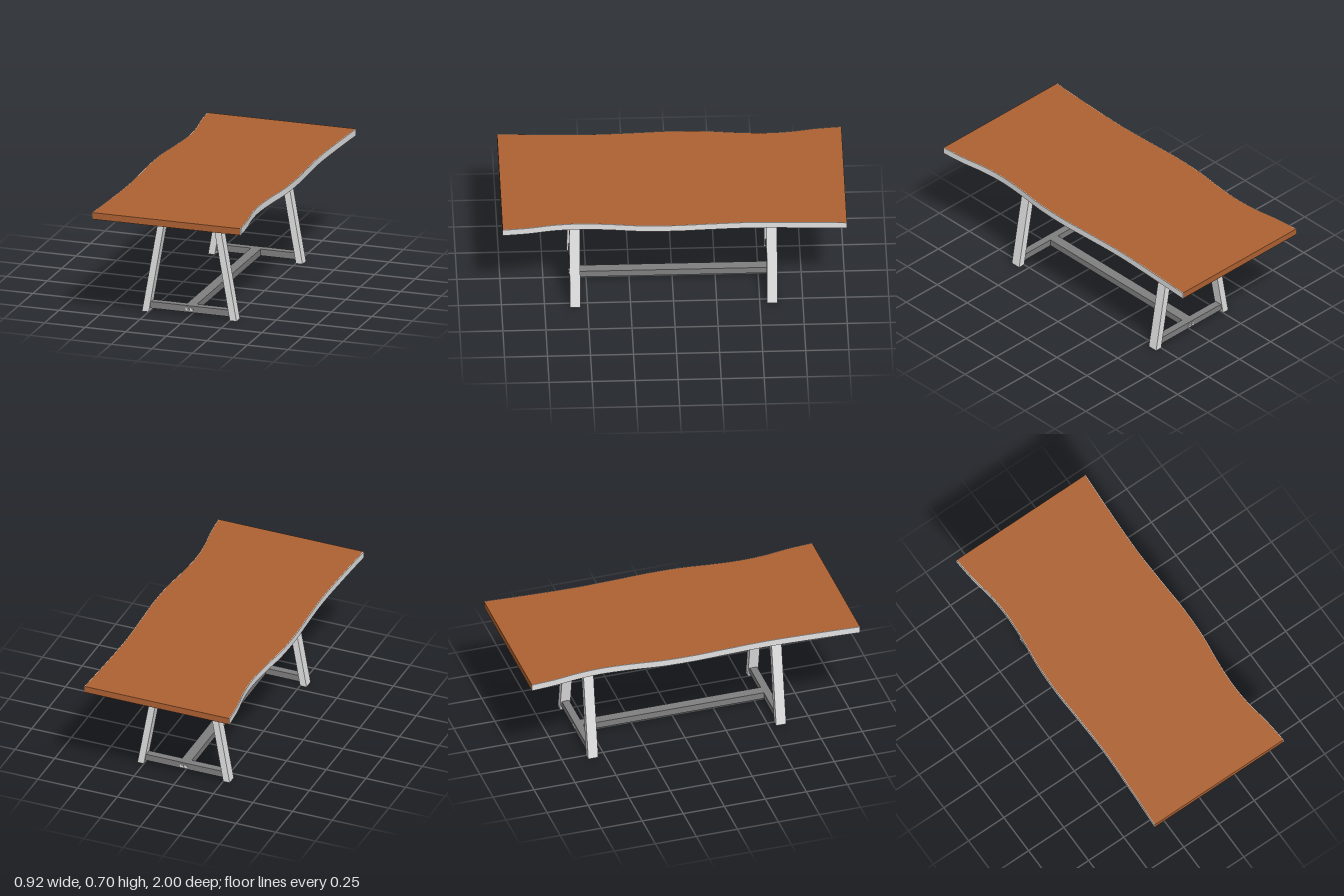
import * as THREE from 'three';
import { toCreasedNormals } from 'three/addons/utils/BufferGeometryUtils.js';

const mat = (name, color) => {
  const m = new THREE.MeshStandardMaterial({ color });
  m.name = name;
  return m;
};

export function createModel() {
  const wood = mat('brown wood', 0xae6232);
  const core = mat('tan core wood', 0xdfc090);
  const light = mat('light grey steel', 0xe3e3e3);
  const dark = mat('dark grey steel', 0x808080);

  const root = new THREE.Group();
  root.name = 'table';

  const add = (parent, name, geo, material, x = 0, y = 0, z = 0) => {
    const mesh = new THREE.Mesh(geo, material);
    mesh.name = name;
    mesh.position.set(x, y, z);
    parent.add(mesh);
    return mesh;
  };
  const box = (parent, name, material, w, h, d, x, y, z) =>
    add(parent, name, new THREE.BoxGeometry(w, h, d), material, x, y, z);
  const polygon = pts => new THREE.Shape(pts.map(p => new THREE.Vector2(p[0], p[1])));

  // Wavy long edge: [z, x]; the other side is the same edge turned half round
  const wave = new THREE.SplineCurve([
    [-1, 0.459], [-0.75, 0.446], [-0.45, 0.436], [-0.2, 0.443], [0, 0.451], [0.2, 0.446],
    [0.38, 0.426], [0.55, 0.415], [0.7, 0.423], [0.85, 0.446], [1, 0.459],
  ].map(p => new THREE.Vector2(p[0], p[1]))).getPoints(80);
  const edgeAt = z => {
    const i = Math.max(1, wave.findIndex(p => p.x >= z - 1e-9));
    const a = wave[i - 1], b = wave[i];
    return a.y + (b.y - a.y) * (z - a.x) / (b.x - a.x);
  };

  // Horizontal slab between two edge functions of z, outlined counter-clockwise
  const slab = (z0, z1, leftEdge, rightEdge, holes, y0, y1) => {
    const n = Math.max(2, Math.round((z1 - z0) * 30));
    const right = [], left = [];
    for (let i = 0; i <= n; i++) {
      const z = z0 + (z1 - z0) * i / n;
      right.unshift([rightEdge(z), -z]);
      left.push([leftEdge(z), -z]);
    }
    const shape = polygon([...right, ...left]);
    shape.holes = holes;
    const geo = new THREE.ExtrudeGeometry(shape, { depth: y1 - y0, bevelEnabled: false });
    geo.rotateX(-Math.PI / 2).translate(0, y0, 0);
    return toCreasedNormals(geo, 0.5);
  };

  // Tabletop: thin sheet, pocketed core, solid ends and edge bands
  const BAND = 0.004, BOTTOM = 0.665, SHEET = 0.694, TOP = 0.705;
  const rightIn = z => edgeAt(z) - BAND;
  const leftIn = z => -edgeAt(-z) + BAND;
  const top = new THREE.Group();
  top.name = 'tabletop';
  root.add(top);
  add(top, 'topSheet', slab(-1, 1, leftIn, rightIn, [], SHEET, TOP), wood);

  const pockets = [];
  for (let i = 0; i < 6; i++) {
    const a = -0.907 + i * 0.3122, b = a + 0.253;
    pockets.push(polygon([[-0.35, -a], [0.35, -a], [0.35, -b], [-0.35, -b]]));
  }
  add(top, 'coreFrame', slab(-0.94, 0.94, leftIn, rightIn, pockets, BOTTOM, SHEET), core);
  add(top, 'backEndStrip', slab(-1, -0.94, leftIn, rightIn, [], BOTTOM, SHEET), wood);
  add(top, 'frontEndStrip', slab(0.94, 1, leftIn, rightIn, [], BOTTOM, SHEET), wood);
  for (const turn of [0, Math.PI]) {
    const band = add(top, 'edgeBand', slab(-1, 1, rightIn, edgeAt, [], BOTTOM, TOP), light);
    band.rotation.y = turn;
  }

  // Vertical plate cut from an x-y outline
  const plate = (parent, name, pts, z0, z1, material) => {
    const geo = new THREE.ExtrudeGeometry(polygon(pts), { depth: z1 - z0, bevelEnabled: false });
    return add(parent, name, geo, material, 0, 0, z0);
  };

  // End frames: splayed legs, cross members, top plate and bolts
  for (const turn of [0, Math.PI]) {
    const frame = new THREE.Group();
    frame.name = turn ? 'backFrame' : 'frontFrame';
    frame.rotation.y = turn;
    root.add(frame);

    for (const s of [-1, 1]) {
      plate(frame, 'leg', [[s * 0.25, 0], [s * 0.291, 0], [s * 0.177, 0.646], [s * 0.137, 0.646]],
        0.542, 0.603, light);
    }
    plate(frame, 'upperCrossPlate',
      [[-0.148, 0.582], [0.148, 0.582], [0.137, 0.646], [-0.137, 0.646]], 0.547, 0.595, light);
    plate(frame, 'footCrossbar',
      [[-0.247, 0.022], [0.247, 0.022], [0.24, 0.062], [-0.24, 0.062]], 0.55, 0.595, dark);
    plate(frame, 'topPlate',
      [[-0.308, 0.646], [0.308, 0.646], [0.326, 0.665], [-0.326, 0.665]], 0.54, 0.613, light);

    for (const y of [0.6, 0.629]) {
      const bolt = add(frame, 'upperBolt', new THREE.SphereGeometry(0.007, 16, 8, 0, Math.PI * 2, 0, Math.PI / 2),
        light, 0, y, 0.595);
      bolt.rotation.x = Math.PI / 2;
    }
    for (const x of [-0.015, 0.013]) {
      const washer = add(frame, 'footWasher', new THREE.CylinderGeometry(0.0105, 0.0105, 0.004, 20), light, x, 0.042, 0.597);
      const head = add(frame, 'footBolt', new THREE.CylinderGeometry(0.006, 0.006, 0.004, 6), light, x, 0.042, 0.6);
      washer.rotation.x = head.rotation.x = Math.PI / 2;
    }
    for (const x of [-0.26, 0.26]) {
      add(frame, 'plateBolt', new THREE.CylinderGeometry(0.009, 0.006, 0.008, 12), light, x, 0.642, 0.575);
    }
  }

  // Long beams joining the frames
  box(root, 'upperBeam', dark, 0.04, 0.08, 1.1, 0, 0.625, 0);
  box(root, 'lowerBeam', dark, 0.06, 0.04, 1.11, 0, 0.042, 0);

  return root;
}
